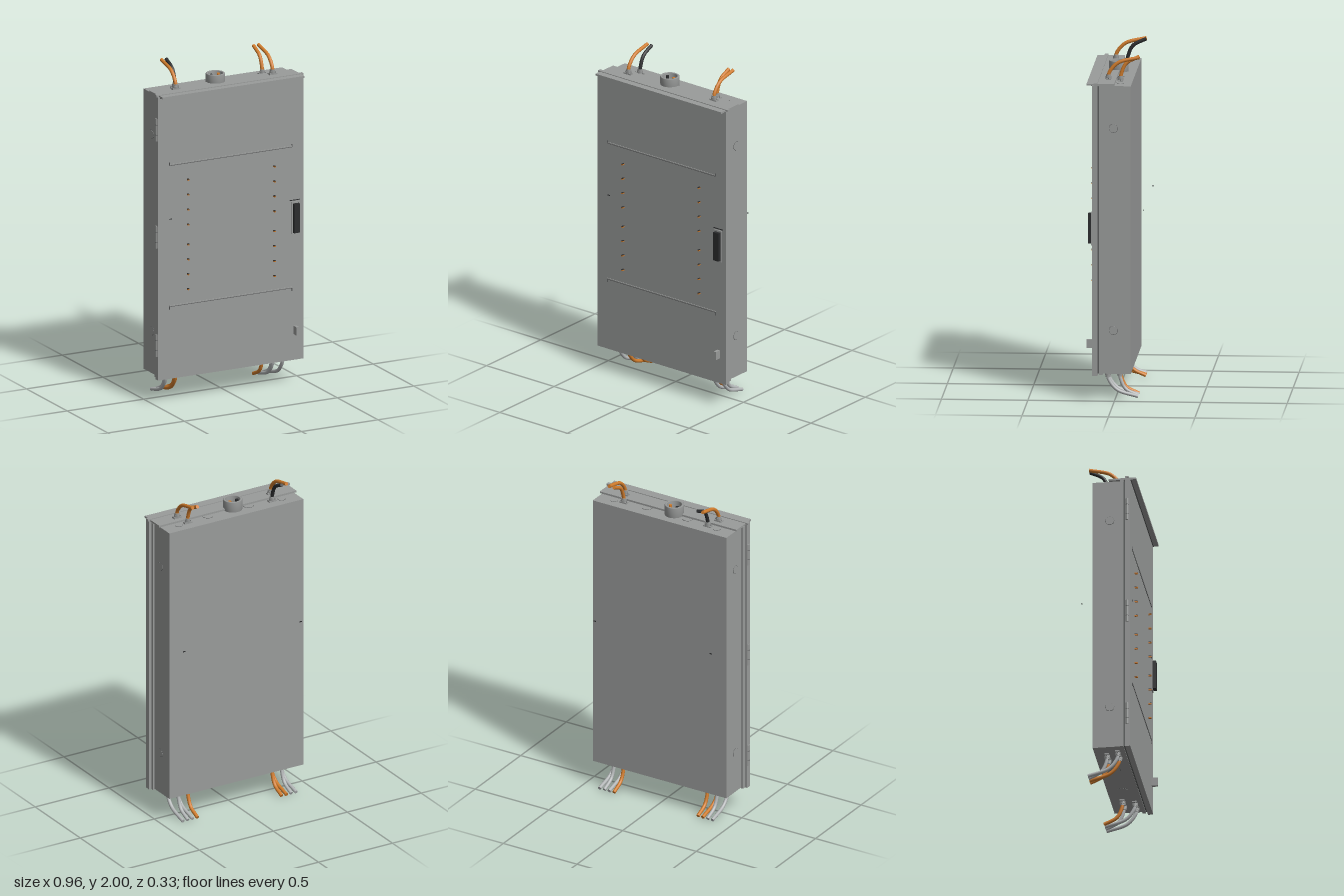
import * as THREE from 'three';

const mat = (name, color) => {
  const m = new THREE.MeshStandardMaterial({ color });
  m.name = name;
  return m;
};

export function createModel() {
  const root = new THREE.Group();
  root.name = 'electricalCabinet';
  const grey = mat('cabinetGrey', 0x999b9a);
  const light = mat('paleGreyCable', 0xb2b5b6);
  const black = mat('black', 0x2b2c2d);
  const copper = mat('copperOrange', 0xd07c2c);
  const dark = mat('seamGrey', 0x5c5e5e);

  const add = (name, geo, m, x = 0, y = 0, z = 0) => {
    const mesh = new THREE.Mesh(geo, m);
    mesh.name = name;
    mesh.position.set(x, y, z);
    root.add(mesh);
    return mesh;
  };
  // box given by its lower and upper limits on each axis
  const box = (name, m, x0, x1, y0, y1, z0, z1) =>
    add(name, new THREE.BoxGeometry(x1 - x0, y1 - y0, z1 - z0), m, (x0 + x1) / 2, (y0 + y1) / 2, (z0 + z1) / 2);

  // enclosure body, frame and door
  box('body', grey, -0.452, 0.454, 0.155, 1.843, -0.092, 0.077);
  box('frameLip', grey, -0.465, 0.465, 0.15, 1.845, 0.07, 0.09);
  box('doorSeal', dark, -0.455, 0.455, 0.155, 1.84, 0.09, 0.1);
  box('door', grey, -0.475, 0.475, 0.145, 1.85, 0.1, 0.13);

  // drip shield over the door, with its raised rib
  box('dripShield', grey, -0.463, 0.465, 1.846, 1.857, 0.003, 0.163);
  box('dripShieldRib', grey, -0.48, 0.48, 1.85, 1.861, 0.1, 0.122);
  box('dripShieldShadowGap', dark, -0.463, 0.465, 1.843, 1.846, 0.13, 0.136);

  // hinges on the door's right edge
  for (const y of [1.652, 1.005, 0.352]) {
    add('hingeBarrel', new THREE.CylinderGeometry(0.009, 0.009, 0.135, 16), grey, -0.474, y, 0.113);
    for (const s of [-1, 1])
      add('hingeSeam', new THREE.CylinderGeometry(0.0094, 0.0094, 0.003, 16), dark, -0.474, y + s * 0.03, 0.113);
  }

  // folded seams across the door
  for (const [y, s] of [[1.43, 1], [0.58, -1]]) {
    box('doorSeam', dark, -0.4, 0.4, y - 0.002, y + 0.002, 0.13, 0.132);
    box('doorSeamFold', grey, -0.4, 0.4, y + 0.002, y + 0.008, 0.13, 0.134);
    for (const x of [-0.4, 0.4])
      box('seamEnd', dark, x - 0.002, x + 0.002, y + (s > 0 ? 0 : -0.018), y + (s > 0 ? 0.018 : 0), 0.13, 0.134);
  }

  // two columns of small indicators
  for (const x of [-0.282, 0.282])
    for (const y of [1.33, 1.24, 1.15, 1.06, 0.94, 0.85, 0.76, 0.67]) {
      box('indicator', copper, x - 0.005, x + 0.005, y - 0.003, y + 0.003, 0.13, 0.147);
      box('indicatorCap', black, x - 0.005, x + 0.005, y + 0.003, y + 0.005, 0.13, 0.147);
    }

  // handle and lower latch
  box('handlePlate', grey, 0.395, 0.447, 0.905, 1.1, 0.13, 0.137);
  box('handle', black, 0.402, 0.44, 0.915, 1.09, 0.137, 0.156);
  box('handlePin', black, 0.385, 0.452, 1.106, 1.11, 0.13, 0.133);
  box('latch', grey, 0.411, 0.43, 0.3, 0.35, 0.13, 0.165);

  // small fixing pins before and behind the cabinet
  for (const x of [-0.391, 0.397])
    box('rearPin', black, x - 0.007, x + 0.007, 1.104, 1.109, -0.165, -0.161);
  box('frontPin', black, -0.4, -0.384, 1.104, 1.109, 0.13, 0.132);

  // round knockouts: a thin disc inside a fine ring, facing along the given axis
  const knockout = (x, y, z, r, axis) => {
    const g = new THREE.Group();
    g.name = 'knockout';
    const ring = new THREE.Mesh(new THREE.TorusGeometry(r, 0.0016, 6, 32), dark);
    ring.rotation.x = Math.PI / 2;
    const disc = new THREE.Mesh(new THREE.CylinderGeometry(r, r, 0.004, 32), grey);
    ring.name = 'knockoutRing';
    disc.name = 'knockoutDisc';
    g.add(ring, disc);
    if (axis === 'x') g.rotation.z = Math.PI / 2;
    g.position.set(x, y, z);
    root.add(g);
  };
  for (const y of [1.595, 0.41])
    for (const x of [-0.452, 0.454]) knockout(x, y, 0.008, 0.025, 'x');
  for (const y of [1.843, 0.155]) {
    for (const x of [-0.135, 0.14]) knockout(x, y, -0.003, 0.03, 'y');
    if (y > 1) for (const x of [-0.345, 0.35]) knockout(x, y, -0.025, 0.021, 'y');
  }

  // open conduit hub on the roof with two conductors inside
  const hub = [[0.042, 0.0], [0.056, 0.0], [0.056, 0.064], [0.053, 0.067], [0.046, 0.067], [0.042, 0.064], [0.042, 0.0]];
  const hubGeo = new THREE.LatheGeometry(hub.map(p => new THREE.Vector2(...p)), 40);
  add('conduitHub', hubGeo, grey, -0.036, 1.84, 0.01);
  for (const [x, m] of [[-0.06, black], [-0.013, copper]])
    add('hubConductor', new THREE.CylinderGeometry(0.009, 0.009, 0.055, 16), m, x, 1.872, 0.003);

  // cable gland and bent cable; dir is 1 for the roof, -1 for the floor
  const cable = (x, z, m, dir) => {
    const y0 = dir > 0 ? (z > 0 ? 1.857 : 1.843) : 0.155;
    const end = dir > 0 ? 1.988 : 0.012;
    const at = d => y0 + dir * d;
    add('glandFlange', new THREE.BoxGeometry(0.05, 0.008, 0.026), grey, x, at(0.004), z);
    add('glandNut', new THREE.CylinderGeometry(0.017, 0.017, 0.018, 6), grey, x, at(0.012), z);
    add('glandCollar', new THREE.CylinderGeometry(0.014, 0.014, 0.012, 20), grey, x, at(0.025), z);
    for (const s of [-1, 1])
      add('glandScrew', new THREE.CylinderGeometry(0.003, 0.003, 0.004, 8), dark, x + s * 0.02, at(0.009), z);
    const path = new THREE.CatmullRomCurve3([
      new THREE.Vector3(x, at(0.01), z),
      new THREE.Vector3(x, at(0.04), z - 0.003),
      new THREE.Vector3(x, (at(0.04) + end) / 2 + dir * 0.012, z - (z + 0.13) * 0.3),
      new THREE.Vector3(x, end, -0.13)
    ]);
    add('cable', new THREE.TubeGeometry(path, 24, 0.0105, 12), m, 0, 0, 0);
    // closed cut end
    const cap = add('cableEnd', new THREE.CircleGeometry(0.0105, 12), m, x, end, -0.13);
    cap.lookAt(new THREE.Vector3(x, end, -0.13).add(path.getTangent(1)));
  };
  const front = 0.045, back = -0.022;
  cable(-0.315, front, copper, 1);
  cable(-0.283, back, black, 1);
  cable(0.287, back, copper, 1);
  cable(0.319, front, copper, 1);
  [light, light, copper, copper].forEach((m, i) => cable(-0.38 + i * 0.0325, i % 2 ? back : front, m, -1));
  [copper, light, light, light].forEach((m, i) => cable(0.287 + i * 0.0325, i % 2 ? front : back, m, -1));

  return root;
}
